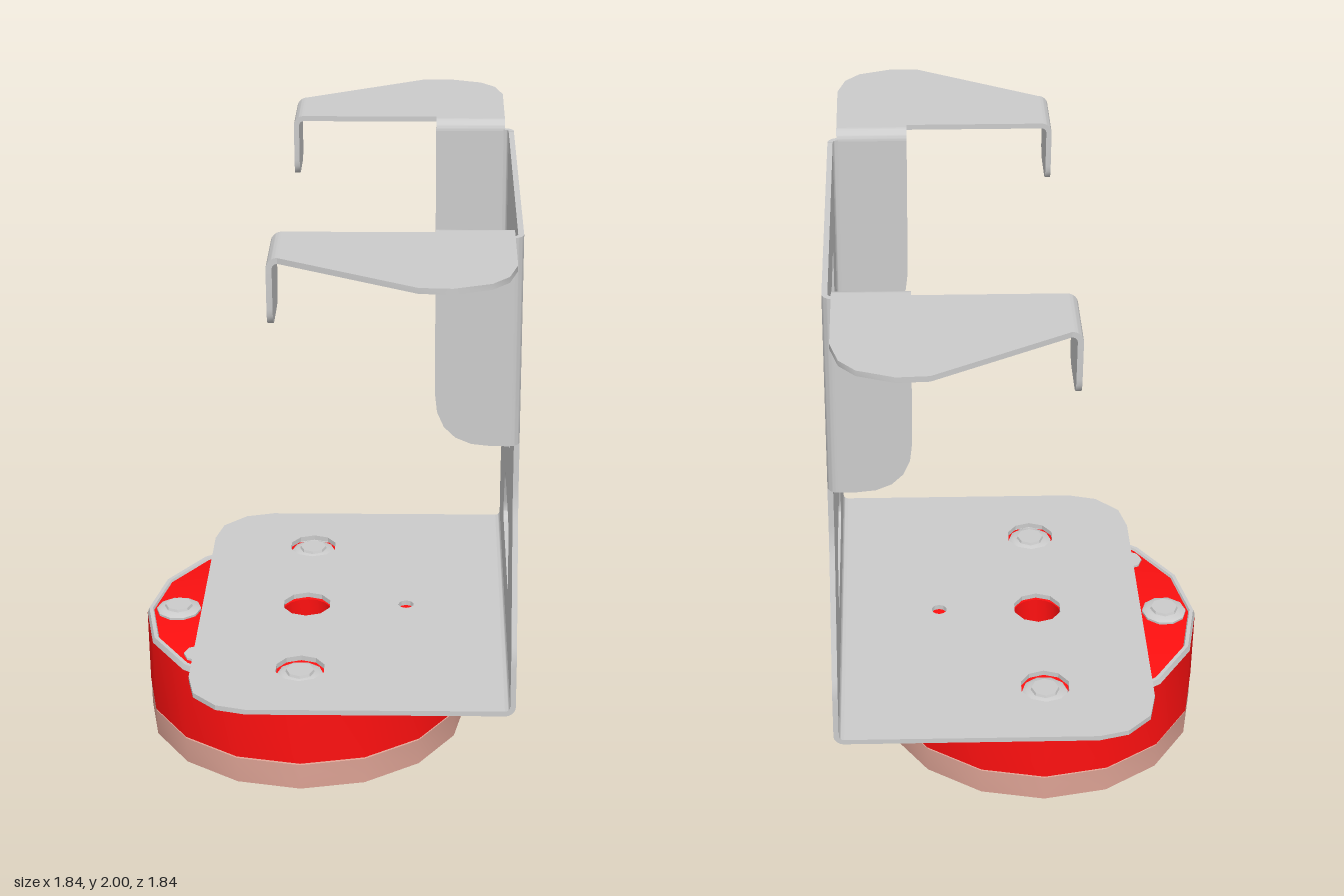
import * as THREE from 'three';
import { toCreasedNormals } from 'three/addons/utils/BufferGeometryUtils.js';

const mat = (color) => new THREE.MeshStandardMaterial({ color, side: THREE.DoubleSide });
const grey = mat(0xcccccc), red = mat(0xff1010), pink = mat(0xdca294), yellow = mat(0xffff10);

const T = 0.018; // sheet thickness
const R = 0.035; // outer bend radius
const PZ = -0.346; // puck centre
const HALF = Math.PI / 2;

// polygon with rounded corners, points are [x, y, radius]
function rounded(points, Type = THREE.Shape) {
  const path = new Type();
  const n = points.length;
  const toward = (a, b, r) => {
    const d = Math.hypot(b[0] - a[0], b[1] - a[1]);
    return [a[0] + ((b[0] - a[0]) * r) / d, a[1] + ((b[1] - a[1]) * r) / d];
  };
  points.forEach((p, i) => {
    const r = p[2] || 0;
    const a = toward(p, points[(i + n - 1) % n], r);
    const b = toward(p, points[(i + 1) % n], r);
    if (i === 0) path.moveTo(...a); else path.lineTo(...a);
    if (r) path.quadraticCurveTo(p[0], p[1], b[0], b[1]);
  });
  path.closePath();
  return path;
}

function circle(x, y, r, Type = THREE.Path) {
  return new Type().absarc(x, y, r, 0, Math.PI * 2, false);
}

// quarter-round cross-section of a sheet bend
function bendShape(a0, a1) {
  const s = new THREE.Shape();
  s.absarc(0, 0, R, a0, a1, false);
  s.absarc(0, 0, R - T, a1, a0, true);
  s.closePath();
  return s;
}

function add(parent, name, geometry, material, pos = [0, 0, 0]) {
  const m = new THREE.Mesh(geometry, material);
  m.name = name;
  m.position.set(...pos);
  parent.add(m);
}

// lay: 'flat' extrudes up (shape y = -z), 'side' extrudes to -x (shape x = z), otherwise +z
function extrude(parent, name, shape, depth, lay, pos, material = grey) {
  const g = new THREE.ExtrudeGeometry(shape, { depth, bevelEnabled: false, curveSegments: 5 });
  if (lay === 'flat') g.rotateX(-HALF);
  if (lay === 'side') g.rotateY(-HALF);
  add(parent, name, toCreasedNormals(g, 0.5), material, pos);
}

function lathe(parent, name, pts, material, pos, segments = 16) {
  const g = new THREE.LatheGeometry(pts.map((p) => new THREE.Vector2(...p)), segments);
  add(parent, name, toCreasedNormals(g, 0.6), material, pos);
}

// side flange, ear and hanging tab; s is +1 for left, -1 for right
function buildArm(s) {
  const arm = new THREE.Group();
  arm.name = s > 0 ? 'leftArm' : 'rightArm';
  const flip = (pts) => rounded(pts.map(([x, y, r]) => [s * x, y, r]));
  const bend = (a0, a1) => (s > 0 ? bendShape(a0, a1) : bendShape(Math.PI - a1, Math.PI - a0));
  const sideX = (x, depth) => (s > 0 ? x : depth - x);

  // flange, bent backwards
  extrude(arm, 'flangeBend', bend(-HALF, 0), 0.69, 'flat', [s * (0.57 - R), 1.28, 0.333]);
  const flange = rounded([[0.333, 1.28], [0.333, 2 - R], [0.1, 2 - R], [0.1, 1.28, 0.18]]);
  extrude(arm, 'flange', flange, T, 'side', [sideX(0.57, T), 0, 0]);

  // ear, bent outwards
  extrude(arm, 'earBend', bend(HALF, Math.PI), 0.238, '', [s * (0.57 - T + R), 2 - R, 0.1]);
  const ear = flip([
    [0.587, -0.338], [0.89, -0.338], [0.985, -0.312], [1.042, -0.262], [1.083, -0.15],
    [1.078, -0.053], [0.838, 0.396 - R], [0.605, 0.396 - R], [0.605, -0.1], [0.587, -0.1],
  ]);
  extrude(arm, 'ear', ear, T, 'flat', [0, 2 - T, 0]);

  // tab at the back of the ear
  extrude(arm, 'tabBend', bendShape(HALF, Math.PI), 0.233, 'side', [sideX(0.838, 0.233), 2 - R, R - 0.396]);
  const tab = flip([[0.605, 2 - R], [0.605, 1.78, 0.06], [0.838, 1.78, 0.06], [0.838, 2 - R]]);
  extrude(arm, 'tab', tab, T, '', [0, 0, -0.396]);
  return arm;
}

function buildBracket() {
  const g = new THREE.Group();
  g.name = 'bracket';

  // base plate with screw holes
  const corner = [[0.72, -0.333], [0.72, 0.51], [0.693, 0.61], [0.615, 0.69], [0.51, 0.714]];
  const base = rounded([...corner, ...corner.map(([x, y]) => [-x, y]).reverse()]);
  for (const [x, z, r] of [[-0.45, PZ, 0.085], [0.45, PZ, 0.085], [0, PZ, 0.085], [0.003, 0.003, 0.027]])
    base.holes.push(circle(x, -z, r));
  extrude(g, 'basePlate', base, T, 'flat', [0, 0.385, 0]);
  extrude(g, 'baseBend', bendShape(-HALF, 0), 1.44, 'side', [0.72, 0.385 + R, 0.333]);

  // upright plate with two windows
  const half = [[0.72, 0.42], [0.72, 0.6, 0.04], [0.543, 1.07, 0.07], [0.543, 1.28], [0.535, 1.28], [0.535, 1.968]];
  const upright = rounded([...half, ...half.map(([x, y, r]) => [-x, y, r]).reverse()]);
  upright.holes.push(
    rounded([[-0.23, 1.1, 0.05], [0.23, 1.1, 0.05], [0.23, 1.737, 0.05], [-0.23, 1.737, 0.05]], THREE.Path),
    rounded([[-0.31, 0.608, 0.07], [0.31, 0.608, 0.07], [0.225, 0.836, 0.07], [-0.225, 0.836, 0.07]], THREE.Path)
  );
  extrude(g, 'uprightPlate', upright, T, '', [0, 0, 0.368 - T]);
  g.add(buildArm(1), buildArm(-1));
  return g;
}

function buildPuck() {
  const g = new THREE.Group();
  g.name = 'puck';
  g.position.z = PZ;
  lathe(g, 'bottomRing', [[0.53, 0.1], [0.53, 0], [0.563, 0], [0.563, 0.093], [0.53, 0.1]], pink);
  // housing with a deep hole in the middle
  lathe(g, 'housing', [[0.53, 0.1], [0.565, 0.1], [0.565, 0.365], [0.54, 0.376], [0.085, 0.376], [0.085, 0.25]], red);
  lathe(g, 'topRim', [[0.565, 0.365], [0.558, 0.384], [0.545, 0.384], [0.54, 0.374]], grey);
  lathe(g, 'holeFloor', [[0.09, 0.25], [0, 0.25]], grey);

  // screws
  for (let i = 0; i < 4; i++) {
    const a = i * HALF;
    const pos = [Math.cos(a) * 0.453, 0, Math.sin(a) * 0.453];
    lathe(g, 'screwWasher', [[0.078, 0.374], [0.078, 0.384], [0.062, 0.392], [0, 0.392]], grey, pos, 10);
    lathe(g, 'screwHead', [[0.05, 0.39], [0.046, 0.401], [0, 0.401]], grey, pos, 8);
  }
  lathe(g, 'pin', [[0.05, 0.374], [0.05, 0.384], [0, 0.384]], grey, [-0.318, 0, -0.354], 8);

  // underside plate with a recessed compartment
  const outline = [
    [-0.4, 0.31, 0.04], [-0.4, -0.1, 0.03], [-0.26, -0.16, 0.03], [-0.26, -0.32, 0.06],
    [0.26, -0.32, 0.06], [0.26, -0.16, 0.03], [0.4, -0.1, 0.03], [0.4, 0.31, 0.04],
  ].map(([w, u, r]) => [-u, w, r]);
  const ring = (r) => {
    const s = circle(0, 0, r, THREE.Shape);
    s.holes.push(rounded(outline, THREE.Path));
    return s;
  };
  extrude(g, 'undersidePlate', ring(0.54), 0.02, 'flat', [0, 0.08, 0]);
  extrude(g, 'compartmentWalls', ring(0.52), 0.13, 'flat', [0, 0.1, 0], yellow);
  extrude(g, 'compartmentCeiling', circle(0, 0, 0.52, THREE.Shape), 0.01, 'flat', [0, 0.23, 0], yellow);

  // small underside fittings
  const stud = new THREE.CylinderGeometry(0.02, 0.02, 0.03, 8);
  const foot = new THREE.CylinderGeometry(0.035, 0.035, 0.03, 8);
  for (const s of [1, -1]) {
    add(g, 'latch', new THREE.BoxGeometry(0.1, 0.05, 0.08), yellow, [-0.03, 0.06, s * 0.45]);
    add(g, 'latchTip', new THREE.CylinderGeometry(0.05, 0.05, 0.06, 4), yellow, [-0.03, 0.055, s * 0.48]);
    add(g, 'stud', stud, yellow, [-0.43, 0.07, s * 0.2]);
    add(g, 'stud', stud, yellow, [0.24, 0.07, s * 0.31]);
    add(g, 'foot', foot, red, [-0.4, 0.07, s * 0.28]);
    add(g, 'foot', foot, red, [0.18, 0.07, s * 0.4]);
  }
  const dome = new THREE.SphereGeometry(0.085, 12, 6, 0, Math.PI * 2, HALF, HALF);
  dome.scale(1, 0.7, 1);
  add(g, 'button', dome, yellow, [-0.43, 0.081, 0]);
  return g;
}

export function createModel() {
  const model = new THREE.Group();
  model.name = 'wallMountWithPuck';
  const turned = new THREE.Group();
  turned.name = 'assembly';
  turned.rotation.y = Math.PI / 4;
  turned.add(buildBracket(), buildPuck());
  model.add(turned);
  return model;
}
